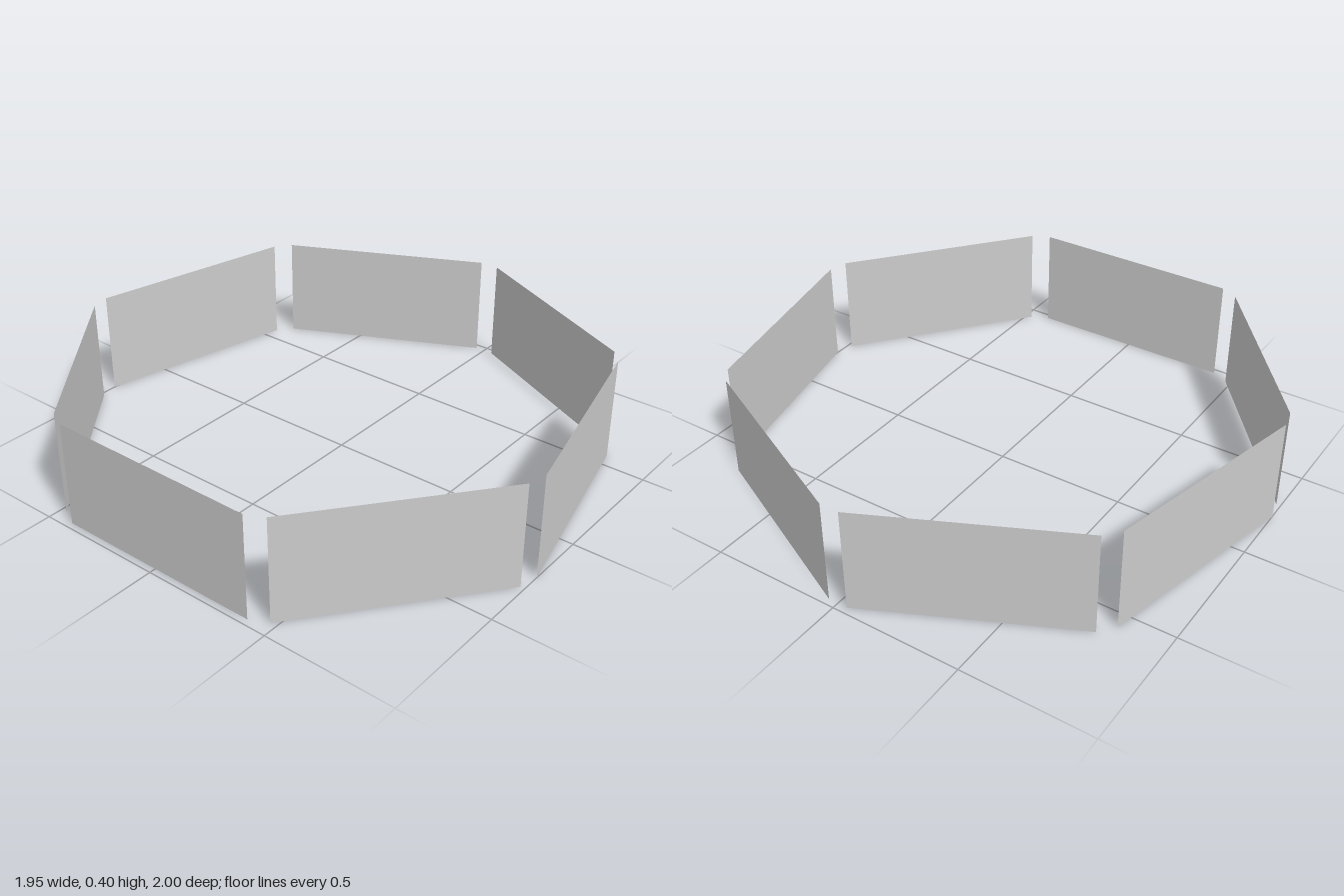
import * as THREE from 'three';

// Open ring of seven thin upright panels with narrow gaps between them
export function createModel() {
  const COUNT = 7, WIDTH = 0.816, HEIGHT = 0.4, RADIUS = 0.933;
  const CENTRE_X = -0.0425; // the ring has a gap at +x and a flat panel at -x

  const group = new THREE.Group();
  group.name = 'panelRing';
  const material = new THREE.MeshStandardMaterial({ color: 0xcccccc, side: THREE.DoubleSide });
  const geometry = new THREE.PlaneGeometry(WIDTH, HEIGHT);

  for (let i = 0; i < COUNT; i++) {
    const angle = ((i + 0.5) / COUNT) * Math.PI * 2;
    const panel = new THREE.Mesh(geometry, material);
    panel.name = `panel${i + 1}`;
    panel.position.set(CENTRE_X + RADIUS * Math.cos(angle), HEIGHT / 2, RADIUS * Math.sin(angle));
    panel.rotation.y = Math.PI / 2 - angle; // face outward
    group.add(panel);
  }
  return group;
}
